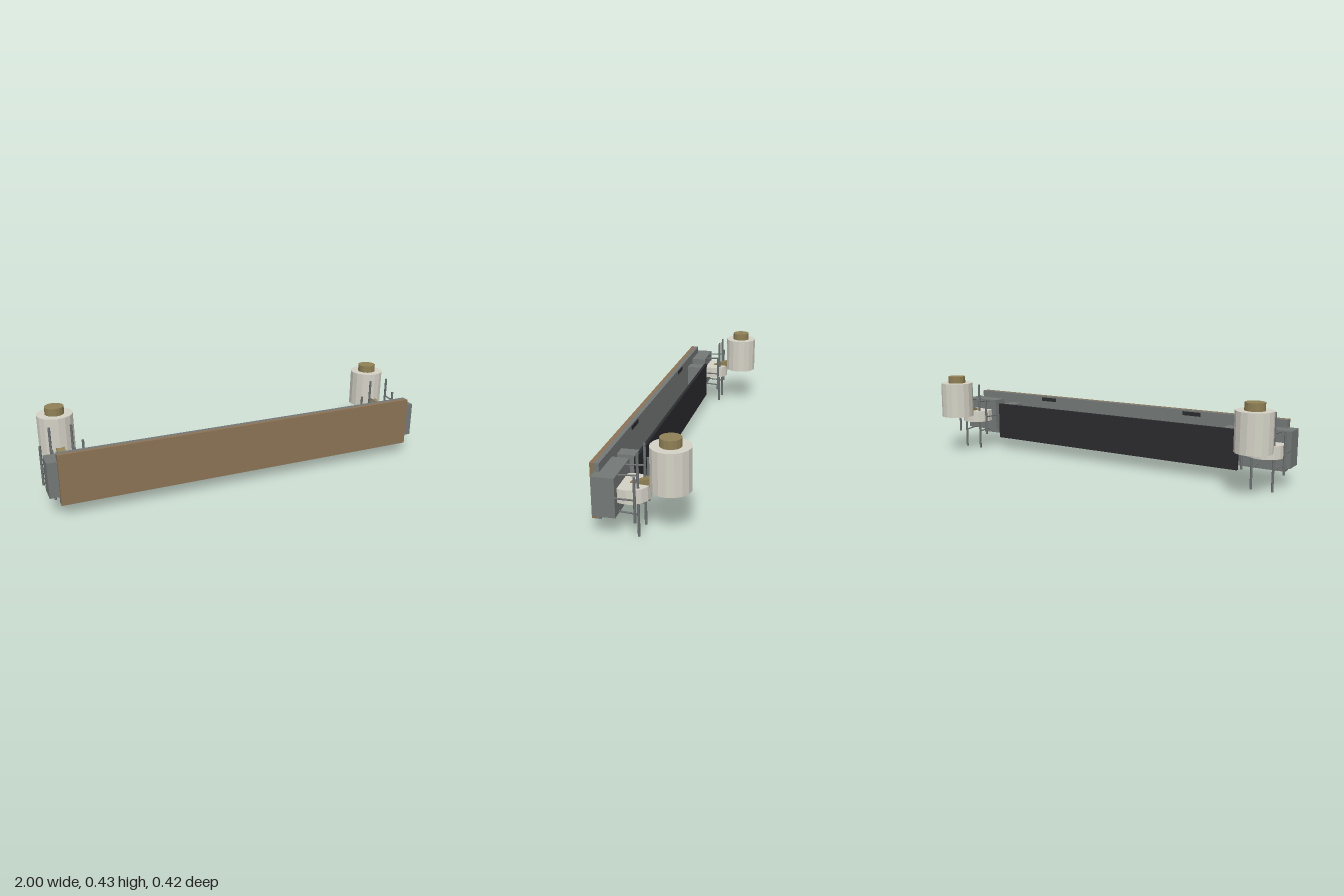
import * as THREE from 'three';

const mat = (color) => new THREE.MeshStandardMaterial({ color, flatShading: true });
const wood = mat(0x8b7355), grey = mat(0x747977), dark = mat(0x2b2c2e);
const white = mat(0xd4d2c6), brass = mat(0x8f8055), steel = mat(0x6c7070);

function add(parent, name, geometry, material) {
  const mesh = new THREE.Mesh(geometry, material);
  mesh.name = name;
  parent.add(mesh);
  return mesh;
}

// Box given by its limits on each axis
function box(parent, name, material, [x0, x1], [y0, y1], [z0, z1]) {
  const g = new THREE.BoxGeometry(x1 - x0, y1 - y0, z1 - z0);
  g.translate((x0 + x1) / 2, (y0 + y1) / 2, (z0 + z1) / 2);
  return add(parent, name, g, material);
}

// Upright cylinder between two heights
function drum(parent, name, material, r, y0, y1, x, z, sides = 16) {
  const g = new THREE.CylinderGeometry(r, r, y1 - y0, sides);
  g.translate(x, (y0 + y1) / 2, z);
  return add(parent, name, g, material);
}

// Thin round bar between two points
function bar(parent, name, r, a, b) {
  const from = new THREE.Vector3(...a), to = new THREE.Vector3(...b);
  const dir = to.clone().sub(from);
  const mesh = add(parent, name, new THREE.CylinderGeometry(r, r, dir.length(), 8), steel);
  mesh.position.copy(from).add(to).multiplyScalar(0.5);
  mesh.quaternion.setFromUnitVectors(new THREE.Vector3(0, 1, 0), dir.normalize());
}

// Ramp rising and widening towards the back
function wedge(parent, x) {
  const g = new THREE.BoxGeometry(1, 1, 1);
  const p = g.attributes.position;
  for (let i = 0; i < p.count; i++) {
    const back = p.getZ(i) < 0, top = p.getY(i) > 0;
    p.setXYZ(i, x + Math.sign(p.getX(i)) * (back ? 0.021 : 0.011),
      top ? (back ? 0.251 : 0.22) : 0.215, back ? -0.035 : 0.055);
  }
  g.computeVertexNormals();
  add(parent, 'ramp', g, brass);
}

function endUnit(side) {
  const unit = new THREE.Group();
  unit.name = side > 0 ? 'leftEndUnit' : 'rightEndUnit';
  const cx = side * 0.89;
  box(unit, 'endBlock', grey, [cx - 0.105, cx + 0.105], [0.1, 0.277], [0.09, 0.19]);
  // Disc, ramp and canister
  drum(unit, 'disc', white, 0.085, 0.157, 0.22, cx, 0.05);
  wedge(unit, cx);
  drum(unit, 'canister', white, 0.088, 0.207, 0.397, cx, -0.119);
  drum(unit, 'canisterCap', brass, 0.047, 0.397, 0.434, cx, -0.119);
  // Cage of upright rods on short struts
  for (const s of [-1, 1]) {
    const tall = cx + s * 0.052, short = cx + s * 0.102;
    drum(unit, 'tallRod', steel, 0.006, 0, 0.375, tall, 0.007, 8);
    drum(unit, 'shortRod', steel, 0.006, 0.088, 0.29, short, 0.007, 8);
    bar(unit, 'upperStrut', 0.004, [tall, 0.27, 0.095], [tall, 0.276, 0.007]);
    bar(unit, 'lowerStrut', 0.004, [tall, 0.107, 0.095], [tall, 0.101, 0.007]);
    bar(unit, 'middleStrut', 0.004, [short, 0.189, 0.095], [short, 0.189, 0.007]);
  }
  return unit;
}

export function createModel() {
  const model = new THREE.Group();
  model.name = 'model';
  // Front board and its backing
  box(model, 'frontPanel', wood, [-0.947, 0.947], [0.063, 0.315], [0.189, 0.209]);
  box(model, 'backingPlate', grey, [-0.947, 0.947], [0.063, 0.315], [0.168, 0.189]);
  // Dark rear panel on two standoffs
  box(model, 'rearPanel', dark, [-0.742, 0.742], [0.063, 0.263], [0.069, 0.084]);
  for (const s of [-1, 1]) {
    const x = s * 0.688;
    box(model, 'standoff', grey, [x - 0.033, x + 0.033], [0.09, 0.262], [0.084, 0.168]);
    for (const y of [0.08, 0.298]) {
      box(model, 'backingTab', dark, [s * 0.45 - 0.05, s * 0.45 + 0.05], [y - 0.01, y + 0.01], [0.166, 0.169]);
    }
    model.add(endUnit(s));
  }
  return model;
}
